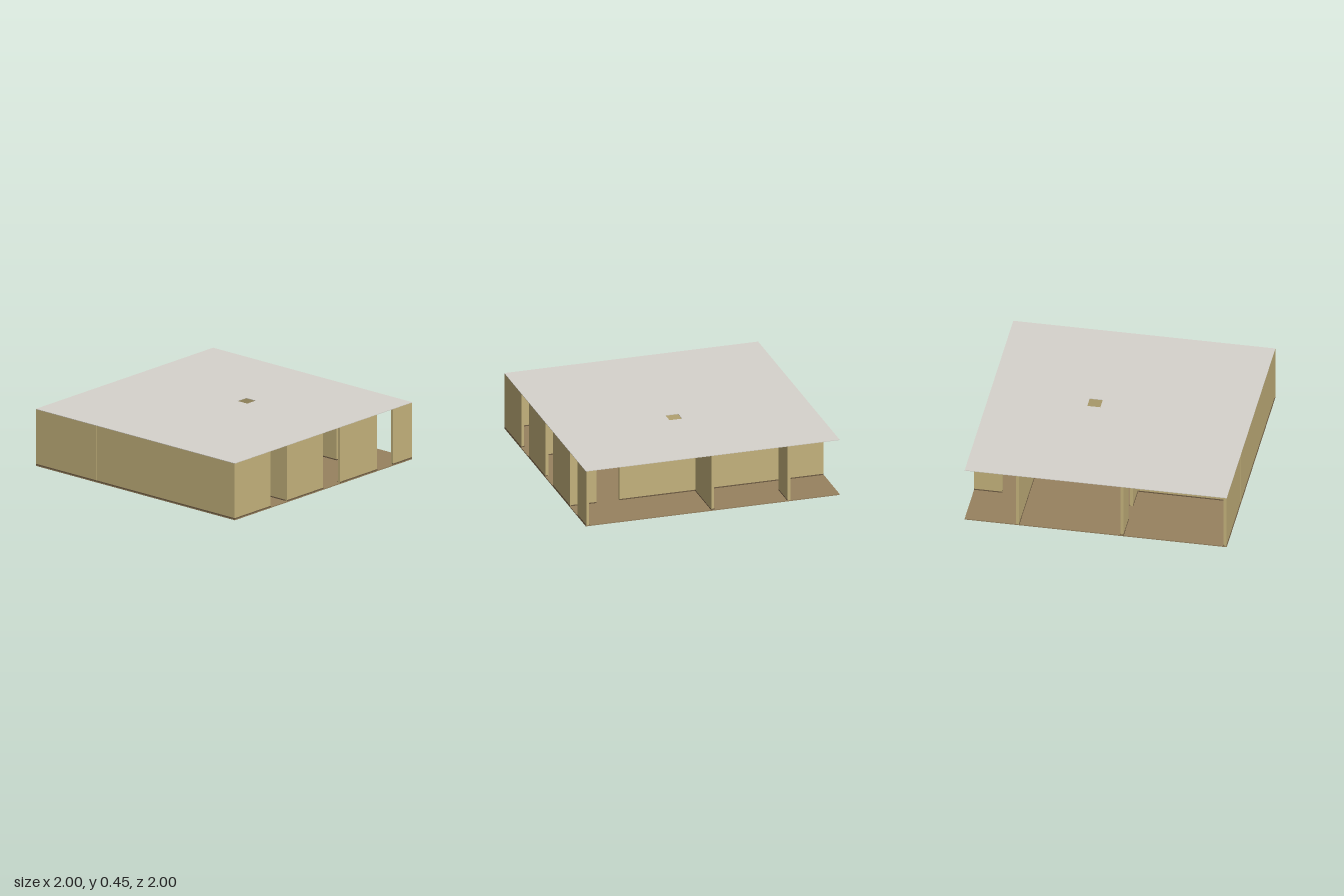
import * as THREE from 'three';

const H = 0.45, FLOOR = 0.008, ROOF = 0.004, T = 0.022;

export function createModel() {
  const model = new THREE.Group();
  const mat = (name, color) => {
    const m = new THREE.MeshStandardMaterial({ color });
    m.name = name;
    return m;
  };
  const wallPaint = mat('wall olive', 0xc4b27c);
  const floorWood = mat('floor brown', 0x97825f);
  const ceilingPaint = mat('ceiling grey', 0xd6d3cc);
  const trim = mat('skirting brown', 0x6e5c43);
  const plate = mat('switch white', 0xe8e6e0);

  // Box given by its lower and upper corners
  const box = (name, material, x0, x1, y0, y1, z0, z1, parent = model) => {
    const mesh = new THREE.Mesh(new THREE.BoxGeometry(x1 - x0, y1 - y0, z1 - z0), material);
    mesh.name = name;
    mesh.position.set((x0 + x1) / 2, (y0 + y1) / 2, (z0 + z1) / 2);
    parent.add(mesh);
  };

  // Floor slab
  box('floor', floorWood, -1, 1, 0, FLOOR, -1, 1);

  // Ceiling slab with a square hatch
  const outline = new THREE.Shape([[-1, -1], [1, -1], [1, 1], [-1, 1]].map(p => new THREE.Vector2(...p)));
  outline.holes.push(new THREE.Path([[0, 0.15], [0, 0.25], [0.1, 0.25], [0.1, 0.15]].map(p => new THREE.Vector2(...p))));
  const slab = new THREE.ExtrudeGeometry(outline, { depth: ROOF, bevelEnabled: false });
  const ceiling = new THREE.Mesh(slab.rotateX(-Math.PI / 2), ceilingPaint);
  ceiling.name = 'ceiling';
  ceiling.position.y = H - ROOF;
  model.add(ceiling);

  // A wall runs along x or z at a fixed offset, in segments separated by full-height doorways
  const wall = (name, axis, at, segments) => {
    const group = new THREE.Group();
    group.name = name;
    for (const [a, b] of segments) {
      const piece = (part, material, y0, y1, half) => axis === 'x'
        ? box(part, material, a, b, y0, y1, at - half, at + half, group)
        : box(part, material, at - half, at + half, y0, y1, a, b, group);
      piece('wallPanel', wallPaint, FLOOR, H - ROOF, T / 2);
      piece('skirting', trim, FLOOR, FLOOR + 0.008, T / 2 + 0.003);
    }
    model.add(group);
  };

  const edge = 1 - T / 2 - 0.003;
  wall('frontWall', 'x', edge, [[-1, 0.985]]);
  wall('leftWall', 'z', edge, [[0.592, 1], [0, 0.41], [-0.607, -0.19], [-1, -0.79]]);
  wall('backPartition', 'x', -0.596, [[-1, 0.61], [0.79, 0.985]]);
  wall('middlePartition', 'x', 0.2, [[-1, -0.79], [-0.61, 0.2]]);
  wall('hallPartition', 'x', 0.398, [[0.2, 0.985]]);
  wall('frontRoomPartition', 'z', -0.4, [[0.2, 1]]);
  wall('hallEndPartition', 'z', 0.2, [[-0.596, 0.4]]);
  wall('backRoomPartition', 'z', 0, [[-1, -0.596]]);
  wall('backStubPartition', 'z', -0.6, [[-1, -0.785]]);

  // Small wall switches beside the doorways
  box('switch', plate, 0.972, 0.978, 0.24, 0.252, -0.826, -0.818);
  box('switch', plate, -0.84, -0.832, 0.24, 0.252, 0.184, 0.19);

  return model;
}
